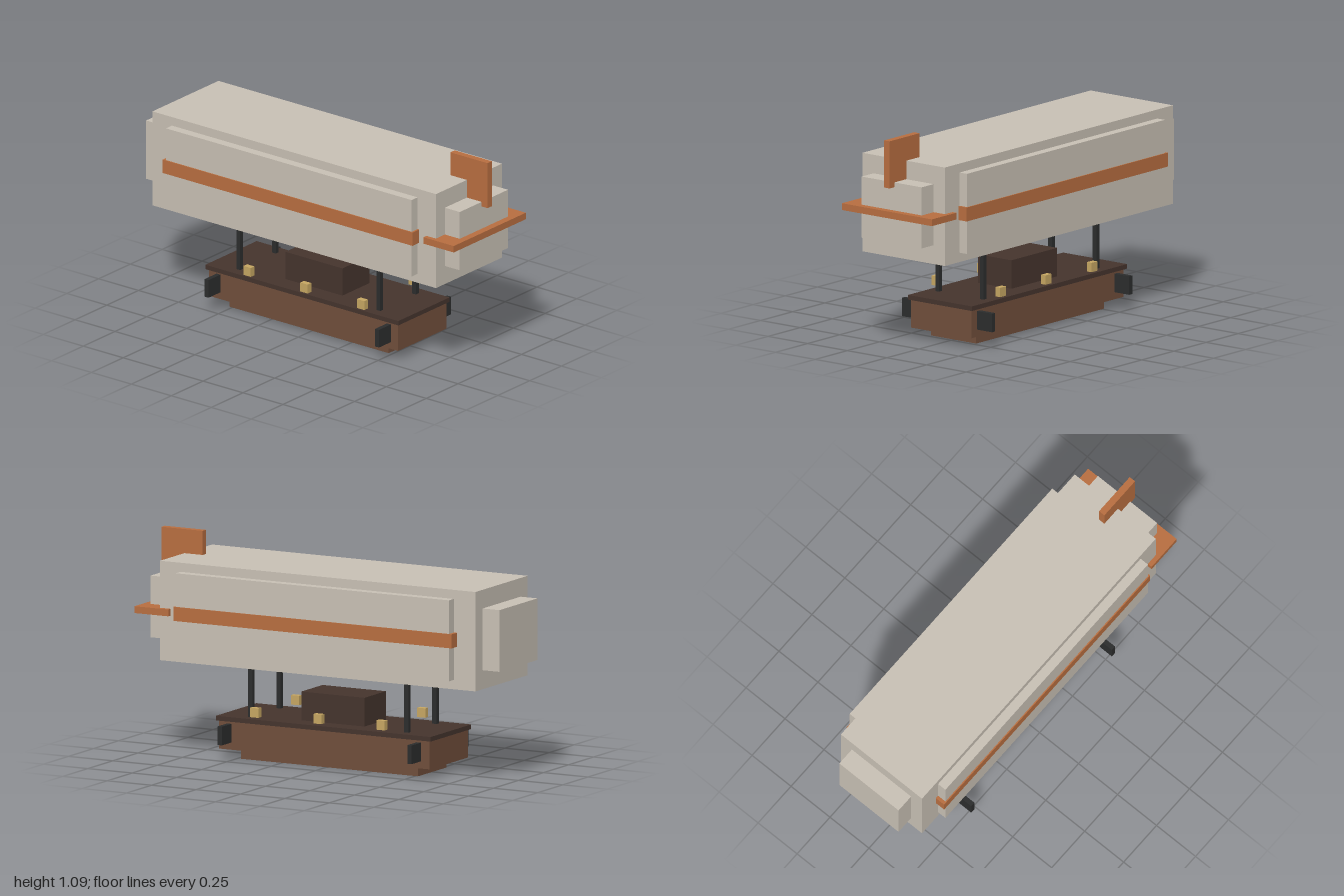
import * as THREE from 'three';

const mat = (name, color) => {
  const m = new THREE.MeshStandardMaterial({ color });
  m.name = name;
  return m;
};

export function createModel() {
  const group = new THREE.Group();
  const canvas = mat('canvas', 0xc8c0b4);
  const copper = mat('copper', 0xb86e40);
  const wood = mat('wood', 0x704e3b);
  const darkWood = mat('darkWood', 0x45342d);
  const iron = mat('iron', 0x2c2d2d);
  const brass = mat('brass', 0xc6a662);

  // Box given by its extents on each axis
  const box = (name, material, [x0, x1], [y0, y1], [z0, z1]) => {
    const mesh = new THREE.Mesh(new THREE.BoxGeometry(x1 - x0, y1 - y0, z1 - z0), material);
    mesh.position.set((x0 + x1) / 2, (y0 + y1) / 2, (z0 + z1) / 2);
    mesh.name = name;
    group.add(mesh);
  };
  // The same box on the left (+x) and right (-x)
  const pair = (name, material, [x0, x1], y, z) => {
    box(name + 'Left', material, [x0, x1], y, z);
    box(name + 'Right', material, [-x1, -x0], y, z);
  };

  // Gas envelope with end caps and side panels
  box('envelope', canvas, [-0.26, 0.26], [0.475, 0.97], [-0.905, 0.87]);
  box('frontCap', canvas, [-0.19, 0.19], [0.57, 0.877], [0.86, 0.963]);
  box('rearCap', canvas, [-0.19, 0.19], [0.57, 0.877], [-1, -0.895]);
  pair('sidePanel', canvas, [0.25, 0.307], [0.522, 0.925], [-0.783, 0.755]);
  pair('sideStripe', copper, [0.25, 0.313], [0.688, 0.758], [-0.8, 0.765]);

  // Fins
  box('horizontalFin', copper, [-0.284, 0.284], [0.702, 0.736], [0.81, 1]);
  box('verticalFin', copper, [-0.017, 0.017], [0.853, 1.09], [0.767, 1]);

  // Gondola
  box('keel', wood, [-0.142, 0.142], [0, 0.06], [-0.515, 0.48]);
  box('hull', wood, [-0.19, 0.19], [0.05, 0.195], [-0.608, 0.577]);
  box('deck', darkWood, [-0.202, 0.202], [0.191, 0.214], [-0.62, 0.588]);
  box('cabin', darkWood, [-0.106, 0.106], [0.205, 0.357], [-0.194, 0.162]);

  // Struts and paddles, front and rear
  for (const [end, strutZ, paddleZ] of [['front', 0.423, 0.52], ['rear', -0.454, -0.547]]) {
    pair(end + 'Strut', iron, [0.129, 0.152], [0.205, 0.485], [strutZ - 0.012, strutZ + 0.012]);
    pair(end + 'Paddle', iron, [0.18, 0.284], [0.086, 0.179], [paddleZ - 0.012, paddleZ + 0.012]);
  }

  // Lamps along both rails
  [0.364, 0.009, -0.347].forEach((z, i) =>
    pair('lamp' + (i + 1), brass, [0.188, 0.217], [0.227, 0.274], [z - 0.023, z + 0.023]));

  return group;
}
